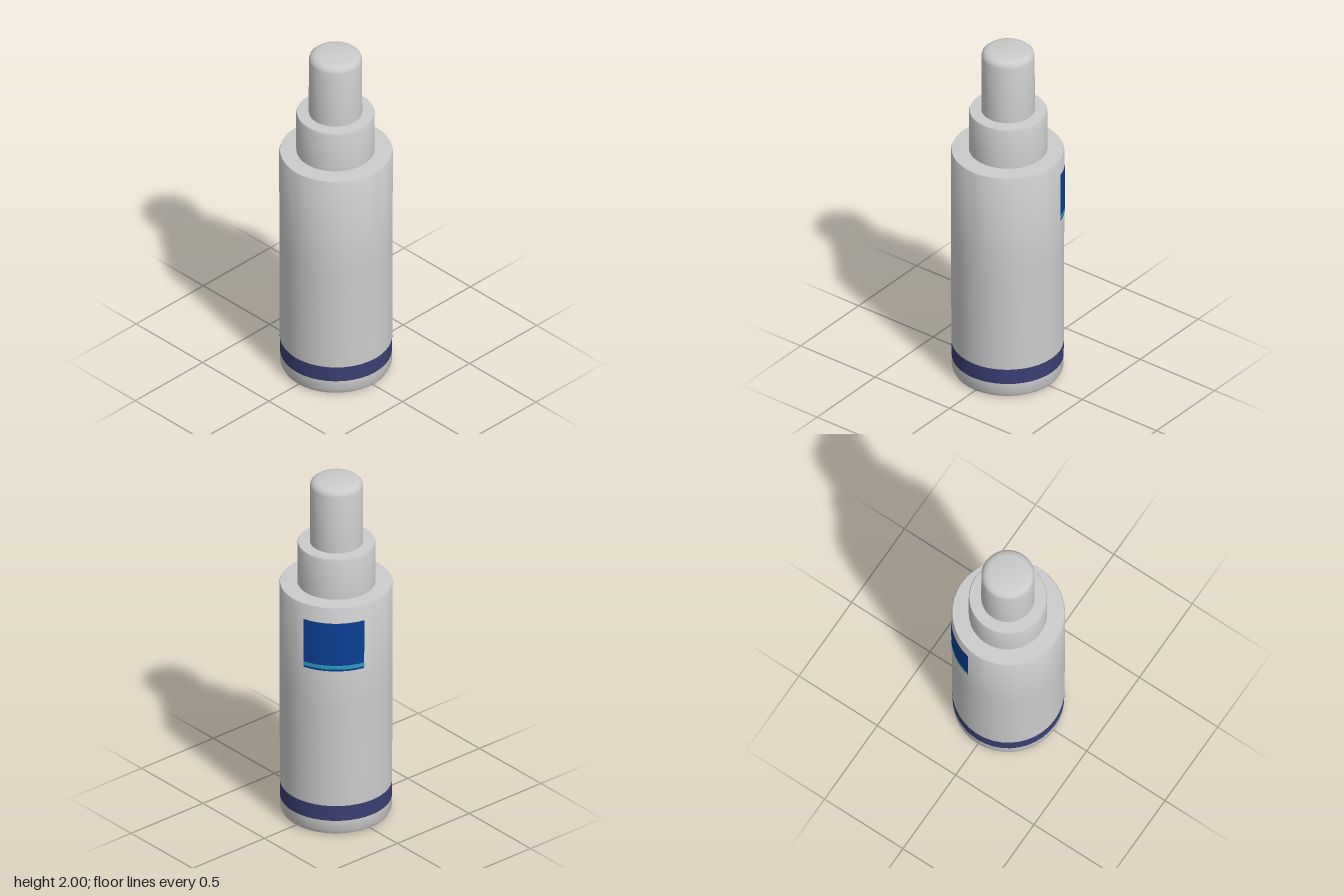
import * as THREE from 'three';
import { toCreasedNormals } from 'three/addons/utils/BufferGeometryUtils.js';

const SEGMENTS = 40;

// Turned part from [radius, height] pairs listed bottom to top
function turned(name, profile, color = 0xcccccc, start = 0, sweep = Math.PI * 2) {
  const points = profile.map(([r, y]) => new THREE.Vector2(r, y));
  const segments = Math.max(8, Math.round(SEGMENTS * sweep / (Math.PI * 2)));
  const geometry = toCreasedNormals(new THREE.LatheGeometry(points, segments, start, sweep), 0.6);
  const mesh = new THREE.Mesh(geometry, new THREE.MeshStandardMaterial({ color }));
  mesh.name = name;
  return mesh;
}

export function createModel() {
  const group = new THREE.Group();
  group.name = 'bottle';

  // Bottle body: rounded base, coloured band, straight wall with flat shoulder
  group.add(turned('base', [[0, 0], [0.265, 0], [0.285, 0.008], [0.296, 0.03], [0.297, 0.09]]));
  group.add(turned('band', [[0.297, 0.09], [0.298, 0.18]], 0x3a3f73));
  group.add(turned('body', [[0.298, 0.18], [0.3, 0.8], [0.301, 1.37], [0.297, 1.38], [0.19, 1.385]]));

  // Collar and pump cap
  const collar = turned('collar', [[0.208, 1.37], [0.208, 1.615], [0.204, 1.625], [0.13, 1.628]]);
  const cap = turned('cap', [[0.142, 1.61], [0.141, 1.965], [0.136, 1.982], [0.122, 1.995], [0.1, 2], [0, 2]]);
  collar.position.x = cap.position.x = -0.004;
  group.add(collar, cap);

  // Plain label patch wrapped on the back left of the body, with a paler strip
  const start = THREE.MathUtils.degToRad(195);
  const sweep = THREE.MathUtils.degToRad(64);
  group.add(turned('labelPatch', [[0.303, 1.0], [0.304, 1.29]], 0x0b3f94, start, sweep));
  group.add(turned('labelStrip', [[0.305, 1.012], [0.305, 1.035]], 0x2c9cc0, start, sweep));

  return group;
}
